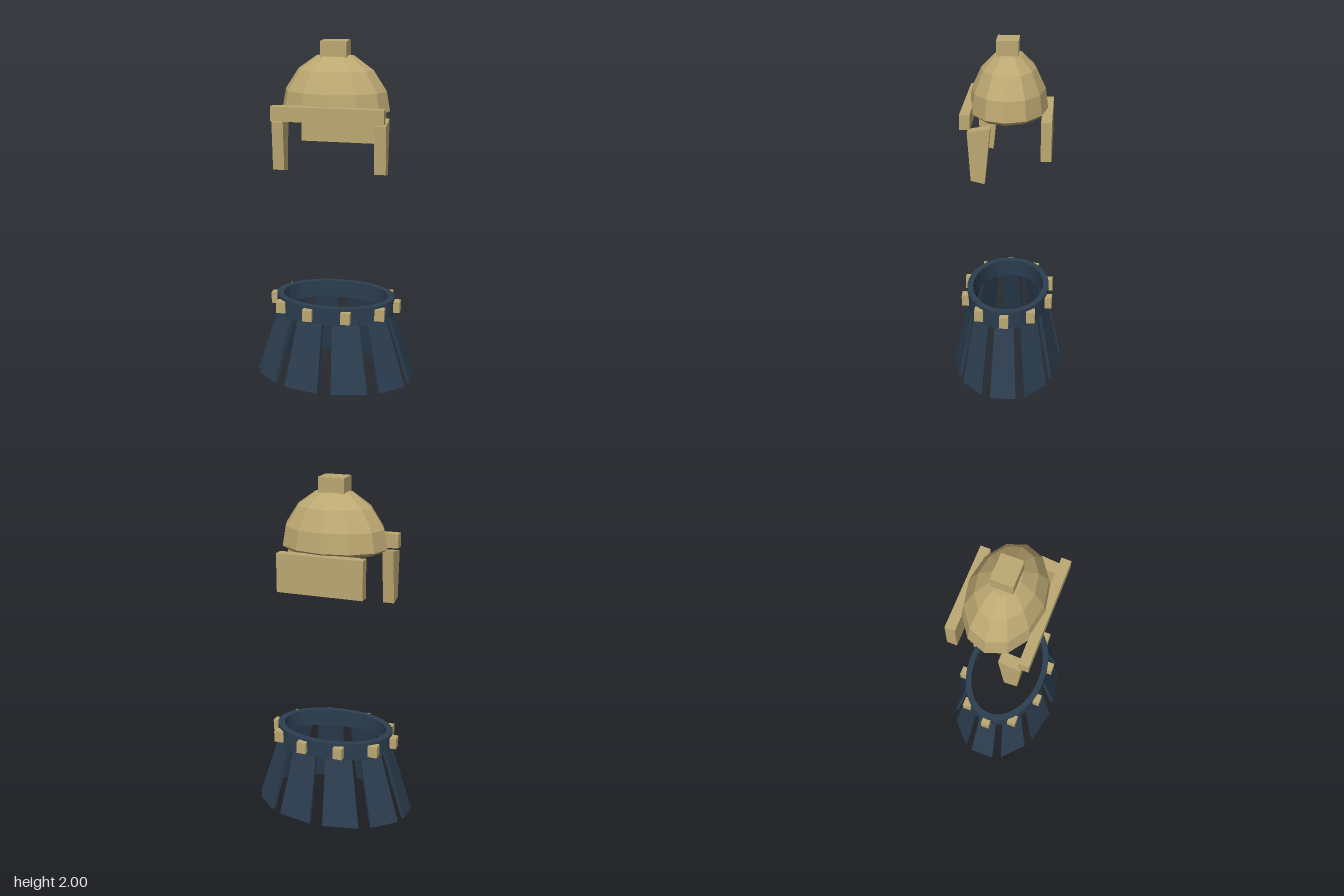
import * as THREE from 'three';

const tan = new THREE.MeshStandardMaterial({ color: 0xbca872, flatShading: true });
const tanShell = new THREE.MeshStandardMaterial({ color: 0xbca872, flatShading: true, side: THREE.DoubleSide });
const navy = new THREE.MeshStandardMaterial({ color: 0x2c3e50, flatShading: true });

function add(parent, name, geometry, material) {
  const mesh = new THREE.Mesh(geometry, material);
  mesh.name = name;
  parent.add(mesh);
  return mesh;
}

function box(parent, name, w, h, d, x, y, z) {
  add(parent, name, new THREE.BoxGeometry(w, h, d), tan).position.set(x, y, z);
}

// Slanted skirt plate: a box whose corners sit on a wide lower and a narrow upper ellipse
function plateGeometry(angle, spread) {
  const geo = new THREE.BoxGeometry(1, 1, 1);
  const pos = geo.attributes.position;
  for (let i = 0; i < pos.count; i++) {
    const top = pos.getY(i) > 0;
    const inset = pos.getZ(i) > 0 ? 0 : 0.022;
    const a = angle - Math.sign(pos.getX(i)) * spread;
    const rx = (top ? 0.345 : 0.482) - inset;
    const rz = (top ? 0.238 : 0.326) - inset;
    pos.setXYZ(i, rx * Math.cos(a), top ? 0.42 : 0, rz * Math.sin(a));
  }
  geo.computeVertexNormals();
  return geo;
}

// Oval belt band with an open middle
function beltGeometry() {
  const shape = new THREE.Shape().absellipse(0, 0, 0.355, 0.245, 0, Math.PI * 2);
  shape.holes.push(new THREE.Path().absellipse(0, 0, 0.315, 0.21, 0, Math.PI * 2, true));
  const geo = new THREE.ExtrudeGeometry(shape, { depth: 0.105, bevelEnabled: false, curveSegments: 24 });
  return geo.rotateX(-Math.PI / 2).translate(0, 0.4, 0);
}

// Tapered cheek guard: side outline in (z, y), extruded across x
function cheekGeometry() {
  const outline = [[0.106, 1.275], [0.181, 1.292], [0.198, 1.565], [0.074, 1.588]];
  const shape = new THREE.Shape(outline.map(([z, y]) => new THREE.Vector2(z, y)));
  const geo = new THREE.ExtrudeGeometry(shape, { depth: 0.065, bevelEnabled: false });
  return geo.rotateY(-Math.PI / 2).translate(0.0325, 0, 0);
}

export function createModel() {
  const model = new THREE.Group();
  model.name = 'armourSet';

  // Helmet
  const helmet = new THREE.Group();
  helmet.name = 'helmet';
  model.add(helmet);

  const profile = [[0.27, 1.59], [0.31, 1.615], [0.29, 1.725], [0.215, 1.84], [0.11, 1.915], [0, 1.93]]
    .map(([r, y]) => new THREE.Vector2(r, y));
  const dome = add(helmet, 'dome', new THREE.LatheGeometry(profile, 12), tanShell);
  dome.scale.z = 0.705;
  dome.position.z = -0.004;

  box(helmet, 'crownKnob', 0.15, 0.09, 0.122, 0, 1.955, 0);
  box(helmet, 'browBand', 0.63, 0.082, 0.056, 0, 1.618, 0.21);
  box(helmet, 'neckGuard', 0.5, 0.22, 0.058, 0, 1.495, -0.221);
  for (const side of [-1, 1]) {
    const cheek = add(helmet, side > 0 ? 'leftCheekGuard' : 'rightCheekGuard', cheekGeometry(), tan);
    cheek.position.x = side * 0.288;
  }

  // Skirt: belt, ten plates and ten studs
  const skirt = new THREE.Group();
  skirt.name = 'skirt';
  model.add(skirt);

  add(skirt, 'belt', beltGeometry(), navy);
  const count = 10;
  for (let i = 0; i < count; i++) {
    const a = (i / count) * Math.PI * 2;
    add(skirt, 'skirtPlate', plateGeometry(a, 0.231), navy);
    box(skirt, 'beltStud', 0.056, 0.068, 0.05, 0.363 * Math.cos(a), 0.455, 0.254 * Math.sin(a));
  }
  return model;
}
